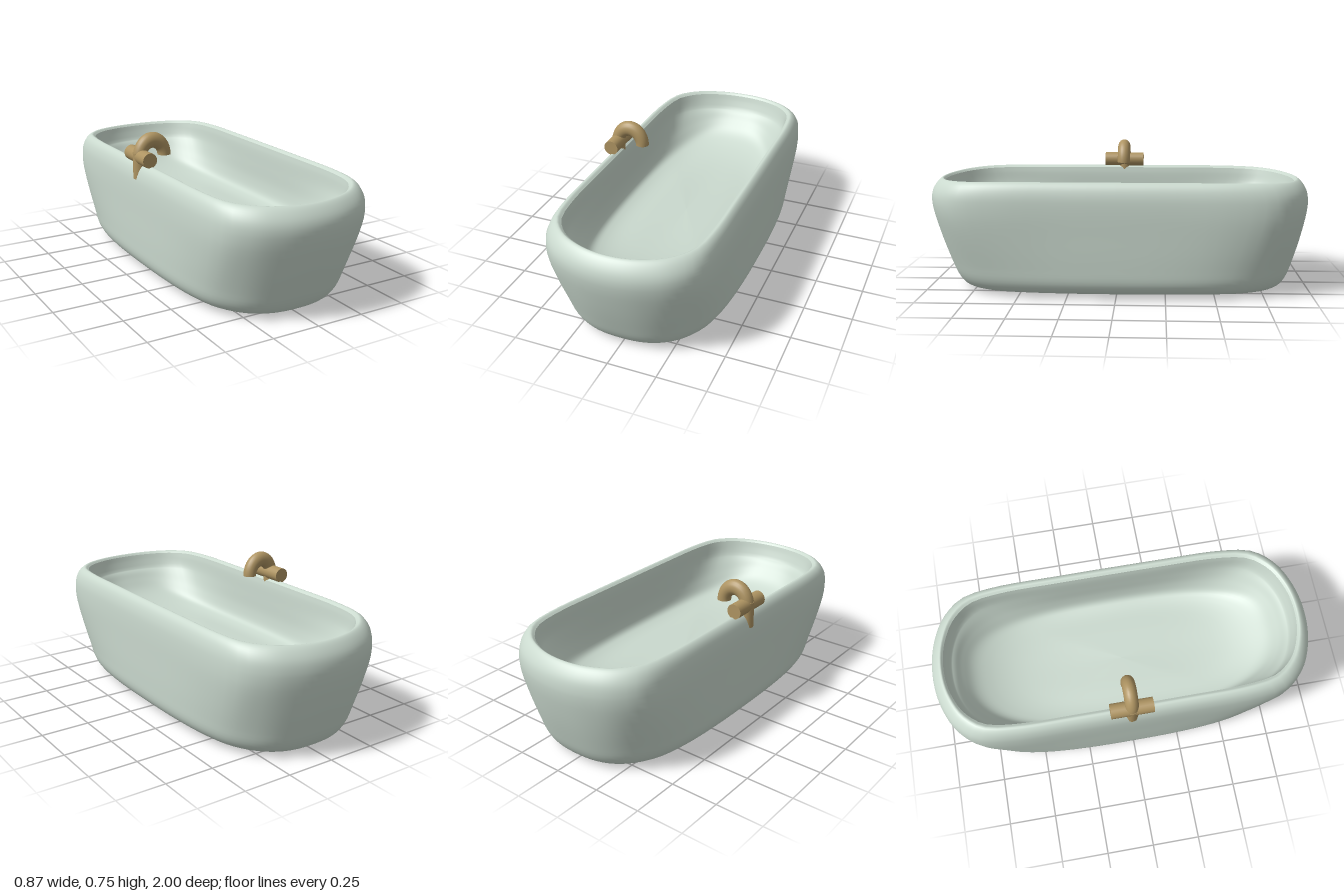
import * as THREE from 'three';

const enamel = new THREE.MeshStandardMaterial({ color: 0xcad9ce });
enamel.name = 'pale green enamel';
const brass = new THREE.MeshStandardMaterial({ color: 0xae9462 });
brass.name = 'brass';

// Half width, height, half length: under the tub, up the outside and over the rim
const outside = [
  [0, 0.015, 0], [0.2, 0.015, 0.5], [0.35, 0.016, 0.76], [0.4, 0.035, 0.845],
  [0.425, 0.08, 0.882], [0.431, 0.16, 0.915], [0.433, 0.32, 0.968], [0.433, 0.46, 1],
  [0.427, 0.525, 0.995], [0.41, 0.572, 0.968], [0.385, 0.592, 0.942], [0.366, 0.58, 0.928],
];
// From the inner edge of the rim down the wall to the middle of the floor
const inside = [
  [0.366, 0.58, 0.928], [0.361, 0.545, 0.918], [0.358, 0.46, 0.885],
  [0.354, 0.37, 0.85], [0.338, 0.305, 0.8], [0.29, 0.282, 0.7], [0.15, 0.28, 0.4], [0, 0.28, 0],
];

// Plan outline of the rim, as fractions of half width and half length
function planOutline(count) {
  const q = [[0, 1], [0.4, 0.975], [0.74, 0.9], [0.93, 0.79], [0.99, 0.62], [1, 0.3]];
  const right = [...q, ...q.slice(1).reverse().map(([x, z]) => [x, -z]), [0, -1]];
  const left = right.slice(1, -1).reverse().map(([x, z]) => [-x, z]);
  return new THREE.CatmullRomCurve3(
    [...right, ...left].map(([x, z]) => new THREE.Vector3(x, 0, z)), true).getSpacedPoints(count);
}

// Skin of rounded rings, which grow more oval from height yHigh down to yLow
function skin(profile, rows, yLow, yHigh, oval, endLift, tuckIn) {
  const cols = 96, pos = [], index = [], outline = planOutline(cols);
  const rings = new THREE.CatmullRomCurve3(profile.map(p => new THREE.Vector3(...p)));
  for (let i = 0; i <= rows; i++) {
    const r = rings.getPoint(i / rows);
    const mix = oval * (1 - THREE.MathUtils.smoothstep(r.y, yLow, yHigh));
    for (let j = 0; j < cols; j++) {
      const o = outline[j];
      const ovalScale = Math.pow(Math.abs(o.x) ** 2.8 + Math.abs(o.z) ** 2.8, -1 / 2.8);
      const k = THREE.MathUtils.lerp(1, ovalScale, mix);
      const z = r.z * o.z * k;
      // the ends dip slightly, the floor rises towards them, the foot is tucked in
      const dip = 0.015 * o.z ** 6 * Math.min(1, r.z / 0.8);
      const lift = endLift * Math.max(0, 0.5 - r.y) * z ** 4;
      const tuck = tuckIn * Math.max(0, 1 - r.y / 0.5) * Math.abs(z);
      pos.push(r.x * o.x * k, r.y - dip + lift, z - tuck);
      if (i === rows) continue;
      const a = i * cols + j, b = i * cols + (j + 1) % cols;
      index.push(a, b, a + cols, b, b + cols, a + cols);
    }
  }
  const g = new THREE.BufferGeometry();
  g.setAttribute('position', new THREE.Float32BufferAttribute(pos, 3));
  g.setIndex(index);
  g.computeVertexNormals();
  return g;
}

export function createModel() {
  const model = new THREE.Group();
  model.name = 'bathtub';
  const add = (parent, name, geometry, material, x = 0, y = 0, z = 0) => {
    const m = new THREE.Mesh(geometry, material);
    m.name = name;
    m.position.set(x, y, z);
    parent.add(m);
    return m;
  };

  add(model, 'tubOutside', skin(outside, 44, 0.03, 0.45, 0.7, 0, 0.02), enamel);
  add(model, 'tubInside', skin(inside, 36, 0.28, 0.54, 1, 1.1, 0), enamel);

  // Tap on the right rim
  const tap = new THREE.Group();
  tap.name = 'tap';
  tap.position.z = -0.015;
  model.add(tap);
  add(tap, 'tapPipe', new THREE.CylinderGeometry(0.035, 0.035, 0.135, 24), brass, -0.4, 0.578);
  add(tap, 'tapHandles', new THREE.CylinderGeometry(0.039, 0.039, 0.22, 24), brass, -0.395, 0.625)
    .rotation.x = Math.PI / 2;
  const spout = add(tap, 'spout', new THREE.TorusGeometry(0.07, 0.035, 20, 24, Math.PI), brass, -0.33, 0.621);
  spout.scale.y = 1.18;
  // cap closing the spout mouth, facing down
  add(tap, 'spoutMouth', new THREE.CircleGeometry(0.035, 20), brass, -0.26, 0.621)
    .rotation.x = Math.PI / 2;

  return model;
}
